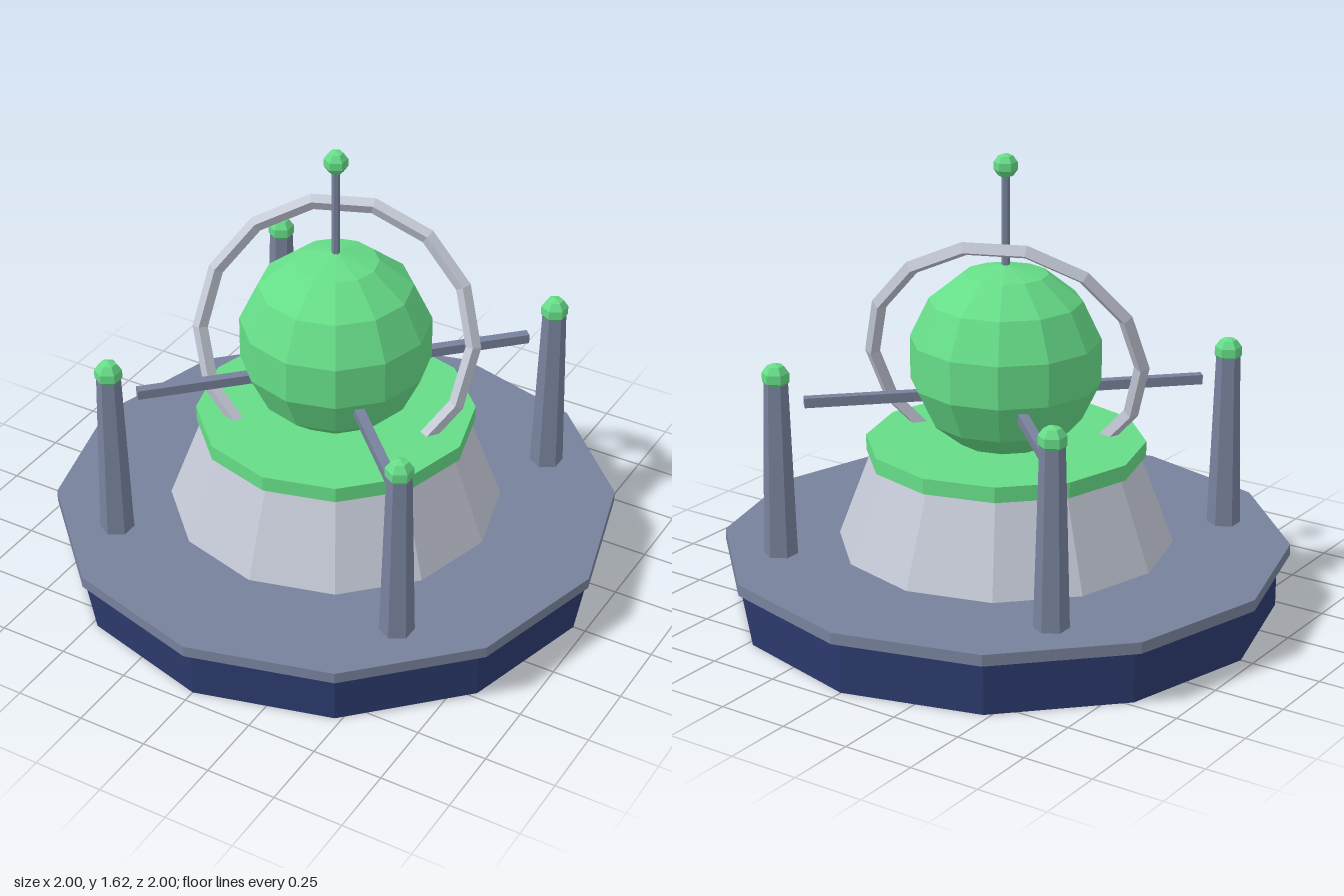
import * as THREE from 'three';

function flat(name, color) {
  const m = new THREE.MeshStandardMaterial({ color, flatShading: true });
  m.name = name;
  return m;
}

export function createModel() {
  const navy = flat('navy', 0x2c3a6c);
  const slate = flat('slate', 0x77829c);
  const silver = flat('silver', 0xc4c9d6);
  const green = flat('green', 0x66dd88);

  const model = new THREE.Group();
  model.name = 'energyStation';

  function add(name, geometry, material, x = 0, y = 0, z = 0) {
    const mesh = new THREE.Mesh(geometry, material);
    mesh.name = name;
    mesh.position.set(x, y, z);
    model.add(mesh);
    return mesh;
  }
  // Upright cylinder or cone between two heights
  function column(name, material, rTop, rBottom, y0, y1, sides, x = 0, z = 0) {
    const g = new THREE.CylinderGeometry(rTop, rBottom, y1 - y0, sides);
    return add(name, g, material, x, (y0 + y1) / 2, z);
  }
  // Small six-sided ball with corners toward the front and back
  function ball(name, radius, x, y, z) {
    const g = new THREE.SphereGeometry(radius, 6, 5).rotateY(Math.PI / 2);
    return add(name, g, green, x, y, z);
  }

  // Stepped base
  column('base', navy, 0.955, 0.955, 0, 0.19, 12);
  column('deck', slate, 1, 1, 0.19, 0.23, 12);
  column('pedestal', silver, 0.47, 0.59, 0.23, 0.55, 12);
  column('collar', green, 0.49, 0.49, 0.545, 0.6, 12);

  // Core sphere with its tilted ring
  add('core', new THREE.SphereGeometry(0.34, 12, 7), green, 0, 0.89, 0);
  const ring = add('ring', new THREE.TorusGeometry(0.475, 0.027, 4, 14), silver, 0, 0.89, 0);
  ring.rotation.set(-0.37, 0.385, 0, 'YXZ');

  // Mast
  column('mast', slate, 0.014, 0.014, 1.18, 1.55, 6);
  ball('mastTip', 0.043, 0, 1.572, 0);

  // Four corner pylons, each with a spoke reaching out of the core
  for (let i = 0; i < 4; i++) {
    const a = Math.PI / 4 + (i * Math.PI) / 2;
    const x = Math.sin(a), z = Math.cos(a);
    column('pylon', slate, 0.042, 0.06, 0.23, 0.86, 6, x * 0.795, z * 0.795);
    ball('pylonTip', 0.05, x * 0.795, 0.872, z * 0.795);
    const spoke = add('spoke', new THREE.BoxGeometry(0.034, 0.034, 0.5), slate, x * 0.45, 0.776, z * 0.45);
    spoke.rotation.y = a;
  }

  return model;
}
